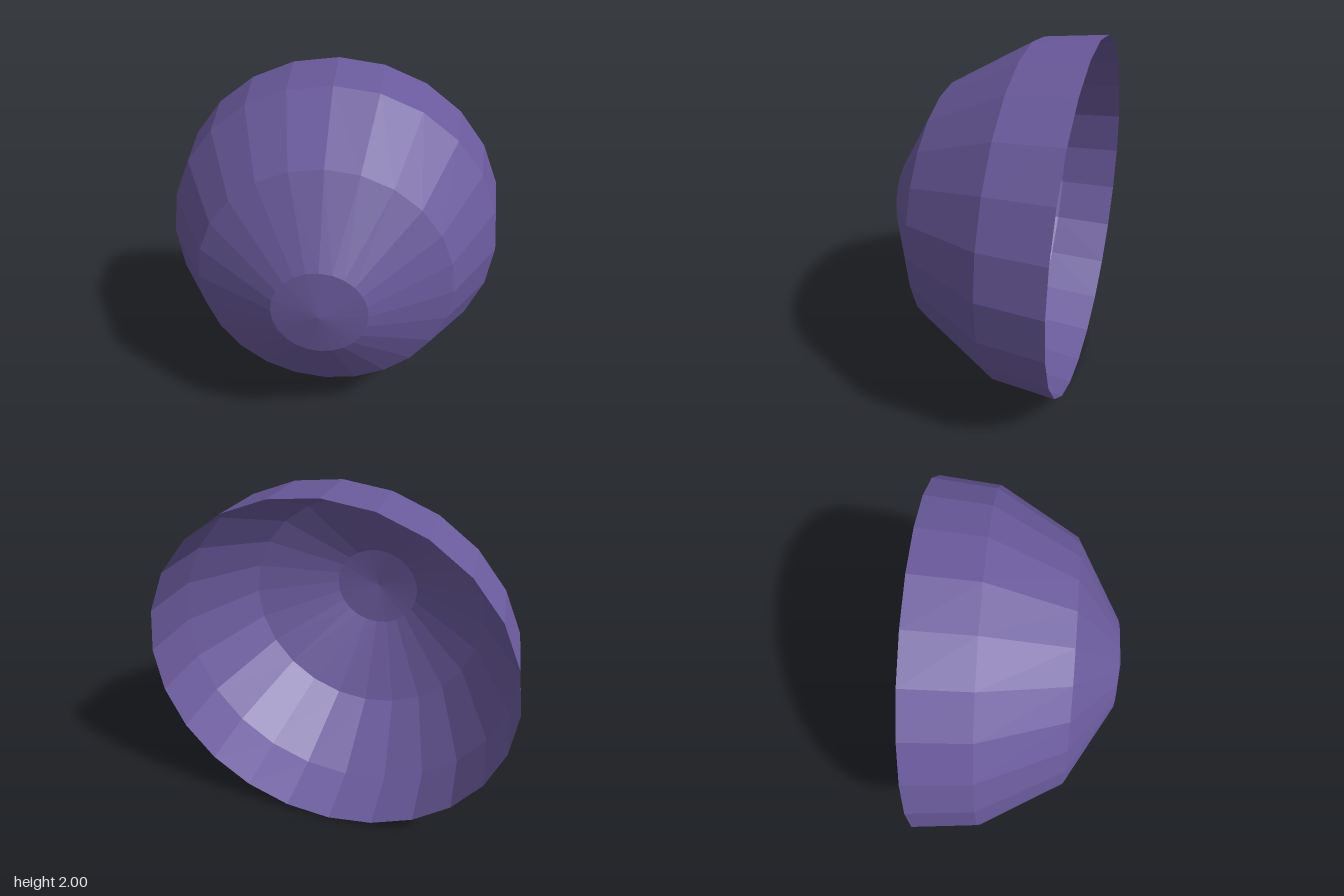
import * as THREE from 'three';

export function createModel() {
  const group = new THREE.Group();
  group.name = 'bowl';

  // Faceted shell profile as [radius, height], from the open rim to the tip
  const profile = [
    [1, -0.545],
    [0.966, -0.197],
    [0.707, 0.25],
    [0.259, 0.51],
    [0, 0.545],
  ].map(([r, h]) => new THREE.Vector2(r, h));

  // Revolve the profile, then lay it down so the tip faces forward
  const geometry = new THREE.LatheGeometry(profile, 24);
  geometry.rotateX(Math.PI / 2);

  const material = new THREE.MeshStandardMaterial({
    color: 0x6a5a9c,
    flatShading: true,
    side: THREE.DoubleSide,
  });
  const shell = new THREE.Mesh(geometry, material);
  shell.name = 'domeShell';
  shell.position.y = 1;
  group.add(shell);

  return group;
}
